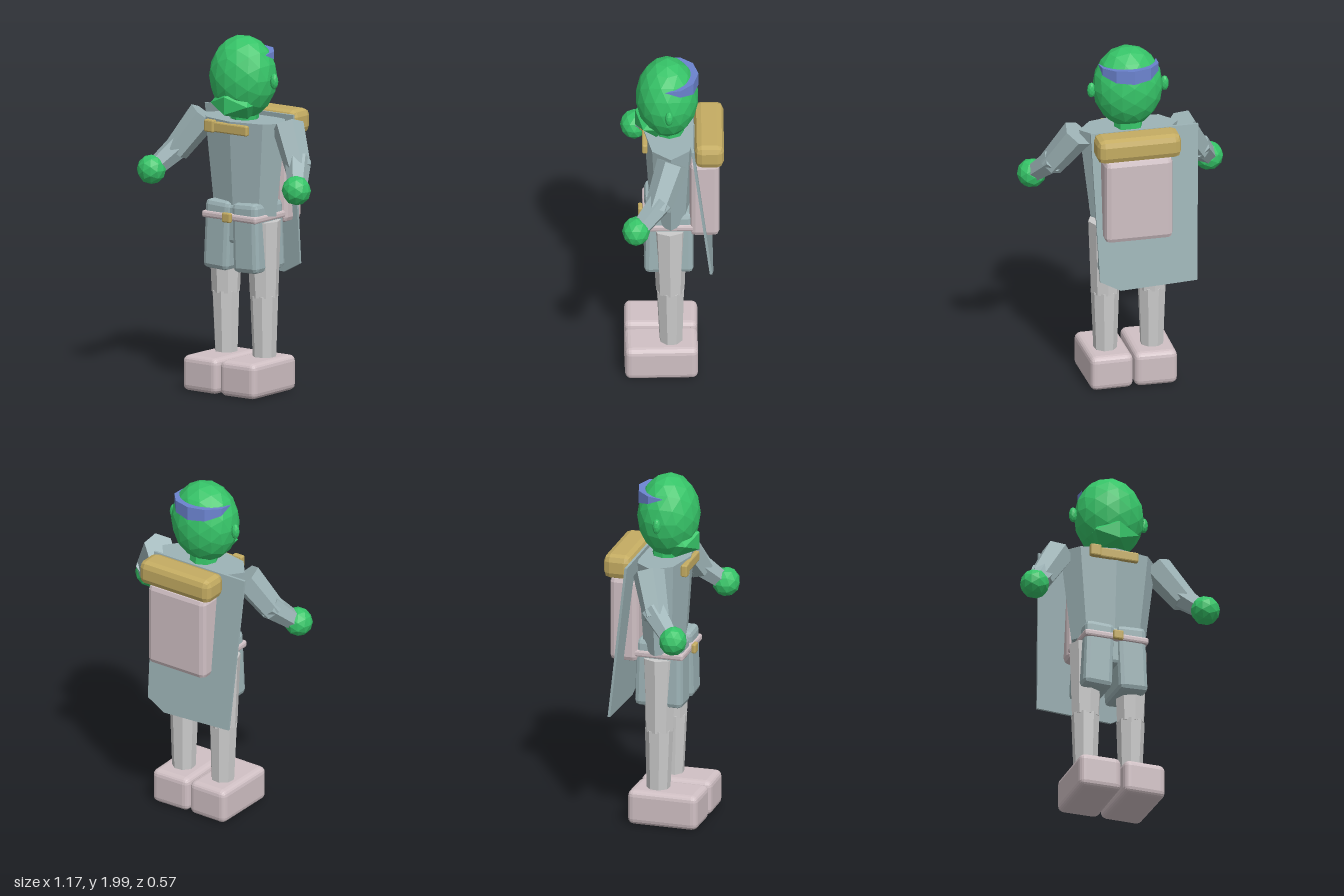
import * as THREE from 'three';
import { RoundedBoxGeometry } from 'three/addons/geometries/RoundedBoxGeometry.js';

const mat = (color, side = THREE.FrontSide) =>
  new THREE.MeshStandardMaterial({ color, flatShading: true, side });
const skin = mat(0x36c468), cloth = mat(0x9db3b6), trousers = mat(0xc0bcc0),
  leather = mat(0xd0c0c4), gold = mat(0xc4ac62), blue = mat(0x6c84d0, THREE.DoubleSide);

export function createModel() {
  const model = new THREE.Group();

  function add(name, geo, material, x = 0, y = 0, z = 0) {
    const mesh = new THREE.Mesh(geo, material);
    mesh.name = name;
    mesh.position.set(x, y, z);
    model.add(mesh);
    return mesh;
  }
  const blob = (name, detail, m, pos, scale) =>
    add(name, new THREE.IcosahedronGeometry(1, detail), m, ...pos).scale.set(...scale);
  const block = (name, size, bevel, m, pos, segments = 1) =>
    add(name, new RoundedBoxGeometry(...size, segments, bevel), m, ...pos);

  // Tapered limb running from point a to point b
  function limb(name, a, b, ra, rb, sides, m) {
    const p = new THREE.Vector3(...a), q = new THREE.Vector3(...b);
    const dir = q.clone().sub(p);
    const mesh = add(name, new THREE.CylinderGeometry(rb, ra, dir.length(), sides), m);
    mesh.position.copy(p).lerp(q, 0.5);
    mesh.quaternion.setFromUnitVectors(new THREE.Vector3(0, 1, 0), dir.normalize());
  }

  // Head, muzzle and neck
  blob('head', 2, skin, [0, 1.765, 0.028], [0.197, 0.235, 0.174]);
  blob('muzzle', 0, skin, [0, 1.625, 0.09], [0.15, 0.095, 0.135]);
  limb('neck', [0, 1.48, 0.01], [0, 1.6, 0.02], 0.08, 0.08, 8, skin);

  // Headband: a crescent around the back of the head, pinched at both tips
  const columns = 6, band = [], faces = [];
  for (let i = 0; i <= columns; i++) {
    const t = (i / columns) * 2 - 1, a = t * 1.65;
    const w = Math.max(0, 1 - t * t);
    const ring = (r, y) => band.push(Math.sin(a) * r, y, 0.03 - Math.cos(a) * r * 0.92);
    ring(0.165 + 0.025 * w, 1.905 - 0.065 * w);
    ring(0.165 + 0.025 * w, 1.905 + 0.015 * w);
    ring(0.165 - 0.03 * w, 1.905 + 0.01 * w);
    if (i < columns) for (let k = 0; k < 3; k++) {
      const p = i * 3 + k, q = i * 3 + (k + 1) % 3;
      faces.push(p, q, p + 3, q, q + 3, p + 3);
    }
  }
  const bandGeo = new THREE.BufferGeometry();
  bandGeo.setAttribute('position', new THREE.Float32BufferAttribute(band, 3));
  bandGeo.setIndex(faces);
  bandGeo.computeVertexNormals();
  add('headband', bandGeo, blue);

  // Torso: eight-sided, flattened front to back
  add('torso', new THREE.CylinderGeometry(0.28, 0.215, 0.53, 8), cloth, 0, 1.265, 0.01)
    .scale.z = 0.52;

  for (const s of [-1, 1]) {
    const side = s > 0 ? 'left' : 'right';
    blob(side + 'Ear', 1, skin, [s * 0.208, 1.76, 0.02], [0.024, 0.045, 0.023]);

    // Arm and hand
    limb(side + 'UpperArm', [s * 0.29, 1.515, 0], [s * 0.425, 1.305, 0.085], 0.09, 0.073, 6, cloth);
    limb(side + 'Forearm', [s * 0.405, 1.345, 0.06], [s * 0.49, 1.225, 0.18], 0.073, 0.055, 6, cloth);
    blob(side + 'Hand', 1, skin, [s * 0.503, 1.21, 0.205], [0.083, 0.083, 0.078]);

    // Leg and boot
    limb(side + 'Thigh', [s * 0.13, 0.97, 0.015], [s * 0.133, 0.54, 0.012], 0.097, 0.079, 8, trousers);
    limb(side + 'Shin', [s * 0.133, 0.55, 0.012], [s * 0.132, 0.18, 0.008], 0.079, 0.065, 8, trousers);
    block(side + 'Boot', [0.243, 0.2, 0.405], 0.035, leather, [s * 0.128, 0.104, 0.062], 2)
      .rotation.y = s * 0.015;

    // Half of the shorts, narrower at the waist
    const half = new RoundedBoxGeometry(0.17, 0.39, 0.275, 1, 0.028);
    const p = half.attributes.position;
    for (let i = 0; i < p.count; i++) {
      if (p.getY(i) > 0) p.setZ(i, p.getZ(i) * 0.97);
    }
    add(side + 'ShortsLeg', half, cloth, s * 0.098, 0.88, 0.02).rotation.z = s * 0.04;
  }
  block('shortsSeat', [0.3, 0.22, 0.25], 0.02, cloth, [0, 0.95, 0.01]);

  // Belt with buckle
  block('belt', [0.375, 0.04, 0.29], 0.012, leather, [0, 0.992, 0.02]);
  block('buckle', [0.058, 0.055, 0.025], 0.008, gold, [0, 0.993, 0.177]);

  // Chest clasp
  block('claspBar', [0.275, 0.058, 0.03], 0.008, gold, [-0.012, 1.49, 0.152]);
  block('claspKnob', [0.064, 0.07, 0.035], 0.008, gold, [-0.128, 1.494, 0.162]);

  // Cape: a thin sheet leaning back, with one lower corner cut off
  const outline = [[-0.367, 1.555], [0.245, 1.555], [0.215, 0.7], [0.1, 0.64], [-0.335, 0.66]];
  const cape = new THREE.ExtrudeGeometry(
    new THREE.Shape(outline.map(([x, y]) => new THREE.Vector2(x, y))),
    { depth: 0.014, bevelEnabled: false });
  const cp = cape.attributes.position;
  for (let i = 0; i < cp.count; i++) {
    cp.setZ(i, cp.getZ(i) - 0.117 - (1.555 - cp.getY(i)) * 0.12);
  }
  cape.computeVertexNormals();
  add('cape', cape, cloth);

  // Backpack with bedroll
  block('backpack', [0.385, 0.49, 0.165], 0.03, leather, [0, 1.185, -0.178]);
  block('bedroll', [0.475, 0.14, 0.162], 0.038, gold, [0, 1.5, -0.204]);

  return model;
}
